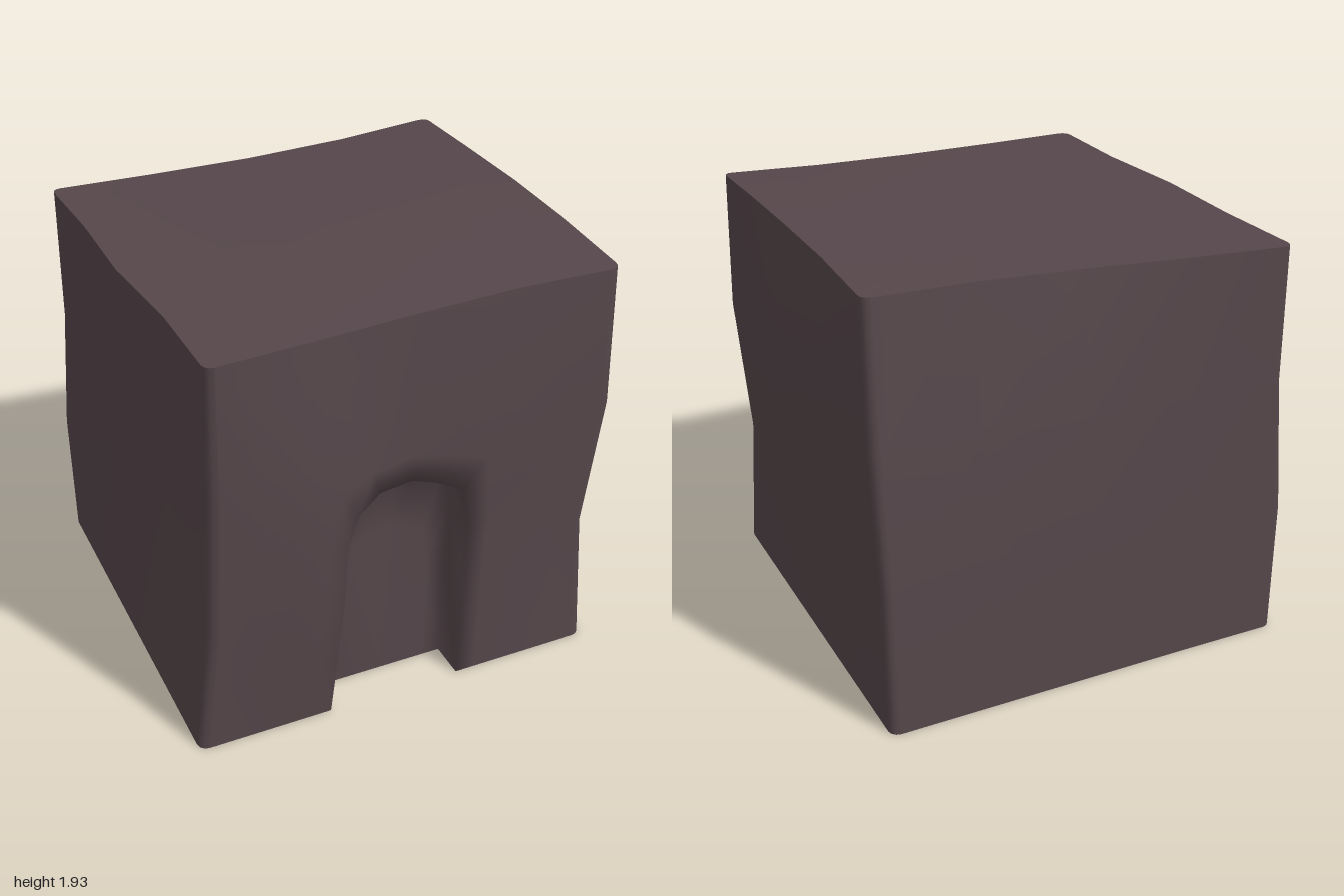
import * as THREE from 'three';

// Distance of each side from the centre: 4 heights (bottom to top) x 5 columns
const SIDES = {
  front: [[.89, .89, .89, .89, .89], [.91, .95, .88, .89, .86], [.92, .975, .87, .91, .91], [.92, .895, .87, .86, .89]],
  back: [[-.975, -.97, -.97, -.97, -.97], [-.965, -.96, -.96, -.955, -.955], [-.94, -.93, -.93, -.92, -.925], [-.94, -.90, -.86, -.85, -.88]],
  right: [[.90, .90, .90, .90, .90], [.91, .91, .91, .89, .87], [.93, .97, 1, .95, .91], [.93, .92, .92, .915, .905]],
  left: [[-.99, -.99, -.99, -.99, -.99], [-1, -.98, -.97, -.96, -.93], [-.96, -.96, -.96, -.92, -.91], [-.955, -.935, -.94, -.90, -.90]],
};
const lerp = THREE.MathUtils.lerp;

// Bilinear lookup, s in -1..1 along the side, t in 0..1 up it
function side(name, s, t) {
  const c = (s + 1) * 2, r = t * 3;
  const c0 = Math.min(3, Math.floor(c)), r0 = Math.min(2, Math.floor(r));
  const row = (i) => lerp(SIDES[name][i][c0], SIDES[name][i][c0 + 1], c - c0);
  return lerp(row(r0), row(r0 + 1), r - r0);
}

// Maps a point of the regular block to the uneven one
function warp(u, t, w, inset = 0) {
  const x = lerp(side('left', w, t), side('right', w, t), (u + 1) / 2);
  const z = lerp(side('back', u, t), side('front', u, t), (w + 1) / 2);
  const a = Math.max(0, (1 + x) / 2) ** 1.5;
  const top = lerp(1.853 + 0.008 * z, 1.937 - 0.035 * z * z - 0.012 * z, a);
  return new THREE.Vector3(x, t * top, z - inset);
}

// Smooth surface through rows of points
function grid(rows) {
  const n = rows[0].length, index = [];
  for (let i = 0; i < rows.length - 1; i++) {
    for (let j = 0; j < n - 1; j++) {
      const a = i * n + j, c = a + n;
      index.push(a, a + 1, c + 1, a, c + 1, c);
    }
  }
  const g = new THREE.BufferGeometry().setFromPoints(rows.flat());
  g.setIndex(index);
  g.computeVertexNormals();
  return g;
}

export function createModel() {
  const group = new THREE.Group();
  const material = new THREE.MeshStandardMaterial({ color: 0x55464a, side: THREE.DoubleSide });
  const add = (name, rows) => {
    const mesh = new THREE.Mesh(grid(rows), material);
    mesh.name = name;
    group.add(mesh);
  };

  // Block outline with rounded corners, starting at the front right corner
  const radius = 0.045, b = 1 - radius;
  const outline = [];
  for (let k = 0; k < 4; k++) {
    const points = [];
    for (let i = 0; i <= 3; i++) {
      const a = (i / 3) * Math.PI / 2;
      points.push([b + radius * Math.sin(a), b + radius * Math.cos(a)]);
    }
    points.push([1, 0.5], [1, 0], [1, -0.5]);
    for (let [u, w] of points) {
      for (let q = 0; q < k; q++) [u, w] = [w, -u];
      outline.push([u, w]);
    }
  }
  outline.push(outline[0]);

  // Side and back walls, leaving the front open
  const wallPath = outline.slice(0, -4);
  wallPath.push([-b, 1]);
  add('sideWalls', [0, 1 / 3, 2 / 3, 1].map((t) => wallPath.map(([u, w]) => warp(u, t, w))));

  // Uneven top
  add('top', [1, 0.75, 0.5, 0.25, 0].map((s) => outline.map(([u, w]) => warp(u * s, 1, w * s))));

  // Front wall with an arched doorway recess
  const arch = [[-.355, 0], [-.345, .16], [-.335, .32], [-.337, .48], [-.29, .555], [-.18, .592],
    [0, .587], [.12, .568], [.26, .533], [.31, .43], [.318, .27], [.30, 0]];
  const border = [[-b, 0], [-b, 1 / 6], [-b, 1 / 3], [-b, 2 / 3], [-b, 1], [-.5, 1],
    [0, 1], [.5, 1], [b, 1], [b, 2 / 3], [b, 1 / 3], [b, 0]];
  const depth = 0.17, middle = -0.02;
  const recess = [0, 0.35, 0.7, 1].map((s) =>
    arch.map(([u, t]) => warp(middle + (u - middle) * s, t * s, 1, depth)));
  const face = [0, 0.15, 0.4, 0.7, 1].map((s) =>
    arch.map(([u, t], i) => warp(lerp(u, border[i][0], s), lerp(t, border[i][1], s), 1)));
  add('frontWallWithDoorway', [...recess, ...face]);

  return group;
}
